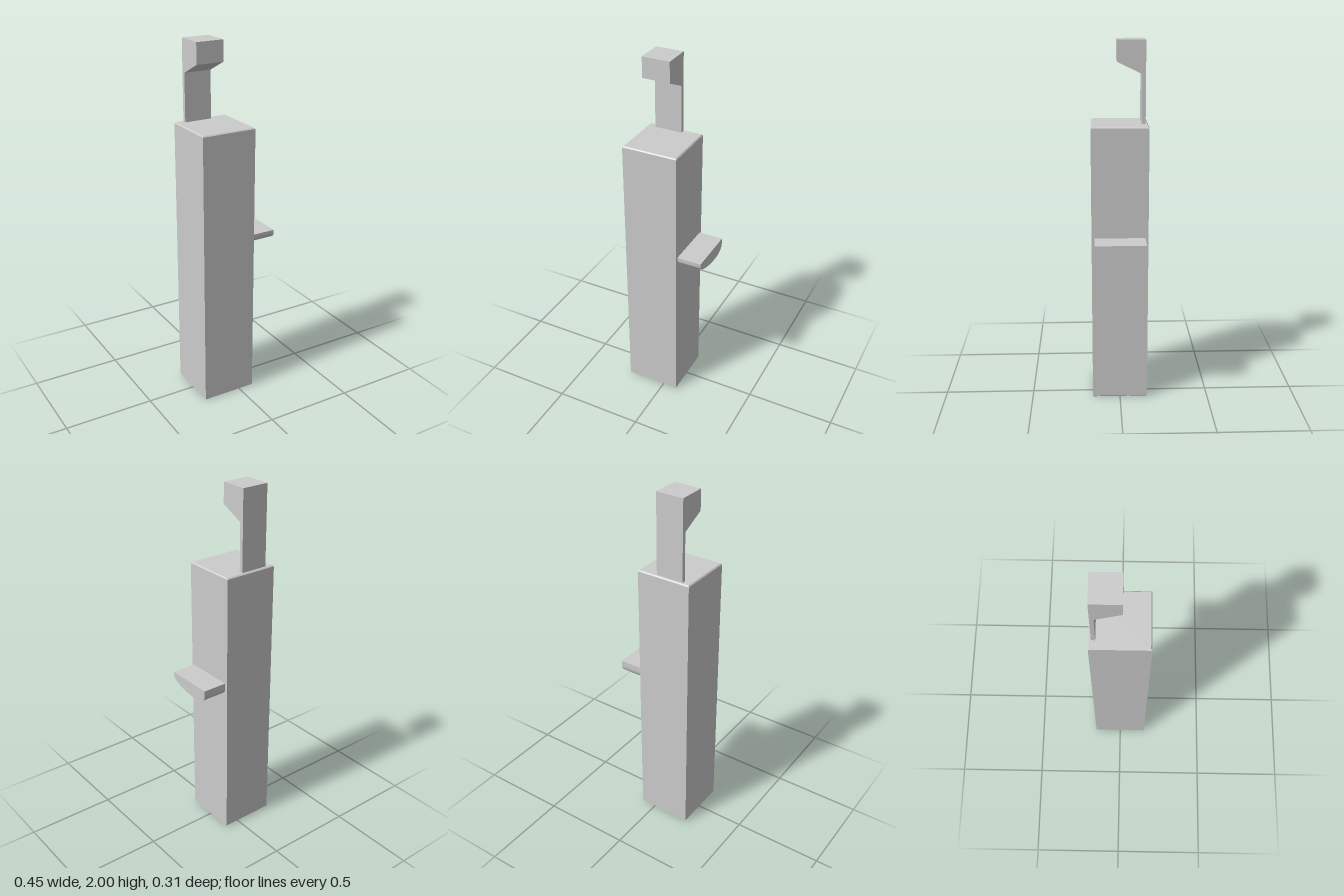
import * as THREE from 'three';
import { toCreasedNormals } from 'three/addons/utils/BufferGeometryUtils.js';

const material = new THREE.MeshStandardMaterial({ color: 0xcccccc });

// Extrude a side profile drawn as (z, y) across the span x0..x1
function sideProfile(name, shape, x0, x1) {
  const geometry = new THREE.ExtrudeGeometry(shape, { depth: x1 - x0, bevelEnabled: false, curveSegments: 16 });
  geometry.rotateY(-Math.PI / 2).translate(x1, 0, 0);
  const mesh = new THREE.Mesh(toCreasedNormals(geometry, 0.5), material);
  mesh.name = name;
  return mesh;
}

export function createModel() {
  const group = new THREE.Group();
  group.name = 'latch';

  // Tall square body with finely chamfered ends
  const half = 0.155, height = 1.56, chamfer = 0.006, r = half - chamfer;
  const square = new THREE.Shape([
    new THREE.Vector2(-r, -r), new THREE.Vector2(r, -r),
    new THREE.Vector2(r, r), new THREE.Vector2(-r, r),
  ]);
  const bodyGeometry = new THREE.ExtrudeGeometry(square, {
    depth: height - 2 * chamfer, bevelSize: chamfer, bevelThickness: chamfer, bevelSegments: 1,
  });
  bodyGeometry.rotateX(-Math.PI / 2).translate(-0.069, chamfer, 0);
  const body = new THREE.Mesh(bodyGeometry, material);
  body.name = 'body';
  group.add(body);

  // Thin upright with a forward hook and sloped underside
  const hook = new THREE.Shape([
    [-0.141, 1.55], [-0.12, 1.55], [-0.12, 1.823], [0.012, 1.887], [0.012, 2], [-0.141, 2],
  ].map(([z, y]) => new THREE.Vector2(z, y)));
  group.add(sideProfile('hook', hook, -0.177, -0.022));

  // Side ledge with a flat top and rounded belly
  const ledge = new THREE.Shape();
  ledge.moveTo(0.14, 0.953);
  ledge.lineTo(-0.138, 0.953);
  ledge.lineTo(-0.138, 0.925);
  ledge.bezierCurveTo(-0.138, 0.885, -0.1, 0.872, -0.045, 0.872);
  ledge.bezierCurveTo(0.03, 0.872, 0.14, 0.9, 0.14, 0.932);
  ledge.closePath();
  group.add(sideProfile('ledge', ledge, 0.08, 0.224));

  return group;
}
